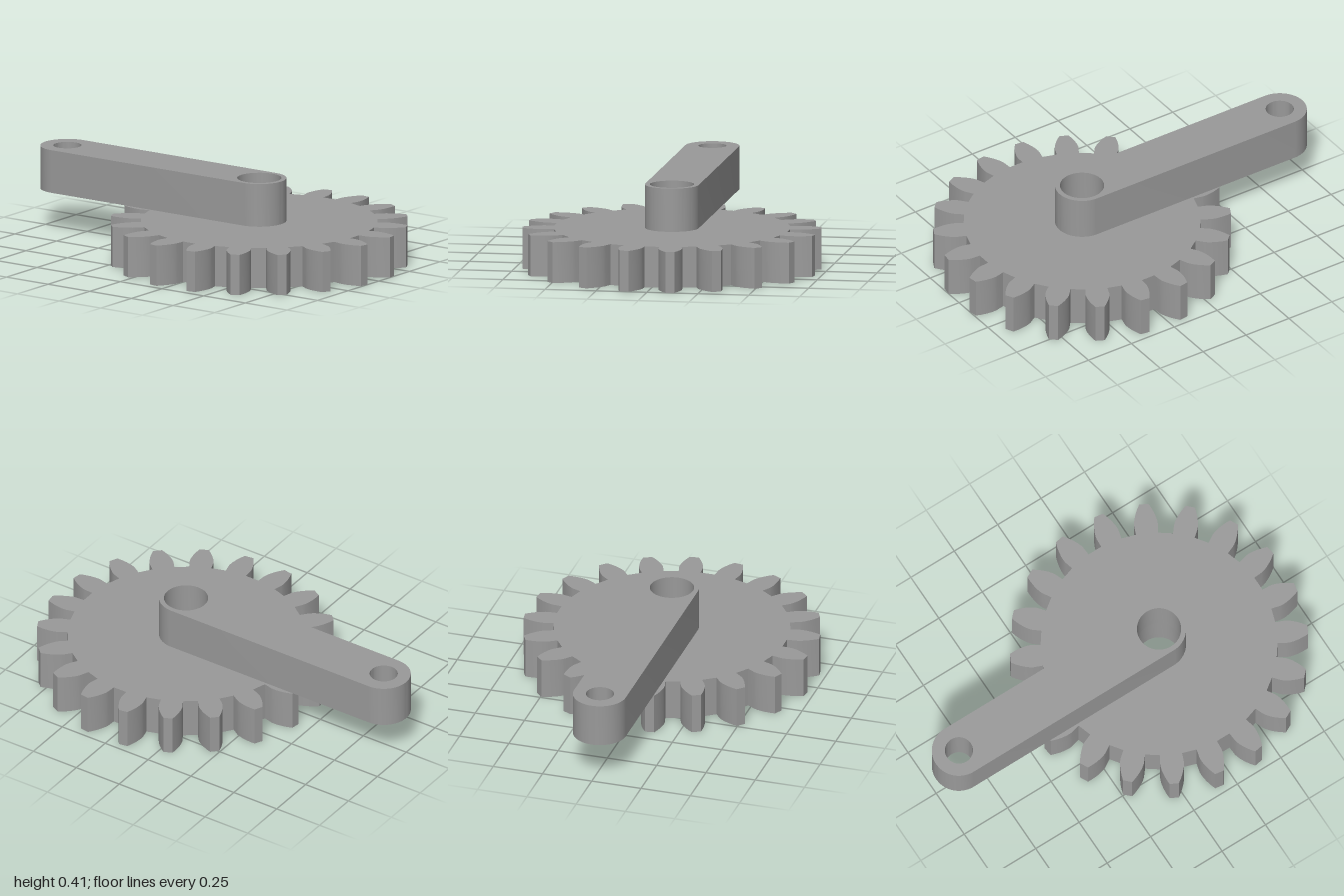
import * as THREE from 'three';
import { toCreasedNormals } from 'three/addons/utils/BufferGeometryUtils.js';

const TEETH = 20, GEAR_Z = 0.283, BORE = 0.107, GEAR_H = 0.2;
const ROOT = 0.573, BASE = 0.617, PITCH = 0.657, TIP = 0.723;
const ARM_R = 0.131, ARM_END_Z = -0.869, ARM_H = 0.212;

// involute function: roll angle of the flank at radius r
const inv = (r) => {
  const a = Math.acos(Math.min(1, BASE / r));
  return Math.tan(a) - a;
};
const halfAngle = (r) => Math.PI / (2 * TEETH) + inv(PITCH) - inv(Math.max(r, BASE));

function circleHole(y, r) {
  return new THREE.Path().absarc(0, y, r, 0, Math.PI * 2, true);
}

// extrude a plan outline upwards, rounding the curved sides only
function extrudeUp(shape, depth) {
  const geo = new THREE.ExtrudeGeometry(shape, { depth, bevelEnabled: false, curveSegments: 24 });
  geo.rotateX(-Math.PI / 2);
  return toCreasedNormals(geo, 0.45);
}

// toothed wheel outline, centred on its bore
function gearShape() {
  const radii = [ROOT, BASE, 0.63, 0.65, 0.675, 0.7, TIP];
  const points = [];
  const add = (r, a) => points.push(new THREE.Vector2(r * Math.cos(a), r * Math.sin(a)));
  for (let i = 0; i < TEETH; i++) {
    const mid = ((i + 0.5) / TEETH) * Math.PI * 2;
    radii.forEach((r) => add(r, mid - halfAngle(r)));
    [...radii].reverse().forEach((r) => add(r, mid + halfAngle(r)));
  }
  const shape = new THREE.Shape(points);
  shape.holes.push(circleHole(0, BORE));
  return shape;
}

// round-ended lever outline, starting at the bore and reaching backwards
function armShape() {
  const length = GEAR_Z - ARM_END_Z;
  const shape = new THREE.Shape();
  shape.absarc(0, 0, ARM_R, Math.PI, Math.PI * 2, false);
  shape.absarc(0, length, ARM_R, 0, Math.PI, false);
  shape.closePath();
  shape.holes.push(circleHole(0, BORE), circleHole(length, 0.068));
  return shape;
}

export function createModel() {
  const group = new THREE.Group();
  group.name = 'gearWithCrankArm';
  const grey = new THREE.MeshStandardMaterial({ color: 0x999999 });
  grey.name = 'grey';

  const gear = new THREE.Mesh(extrudeUp(gearShape(), GEAR_H), grey);
  gear.name = 'gear';
  gear.position.z = GEAR_Z;

  const arm = new THREE.Mesh(extrudeUp(armShape(), ARM_H), grey);
  arm.name = 'crankArm';
  arm.position.set(0, GEAR_H, GEAR_Z);

  group.add(gear, arm);
  return group;
}
